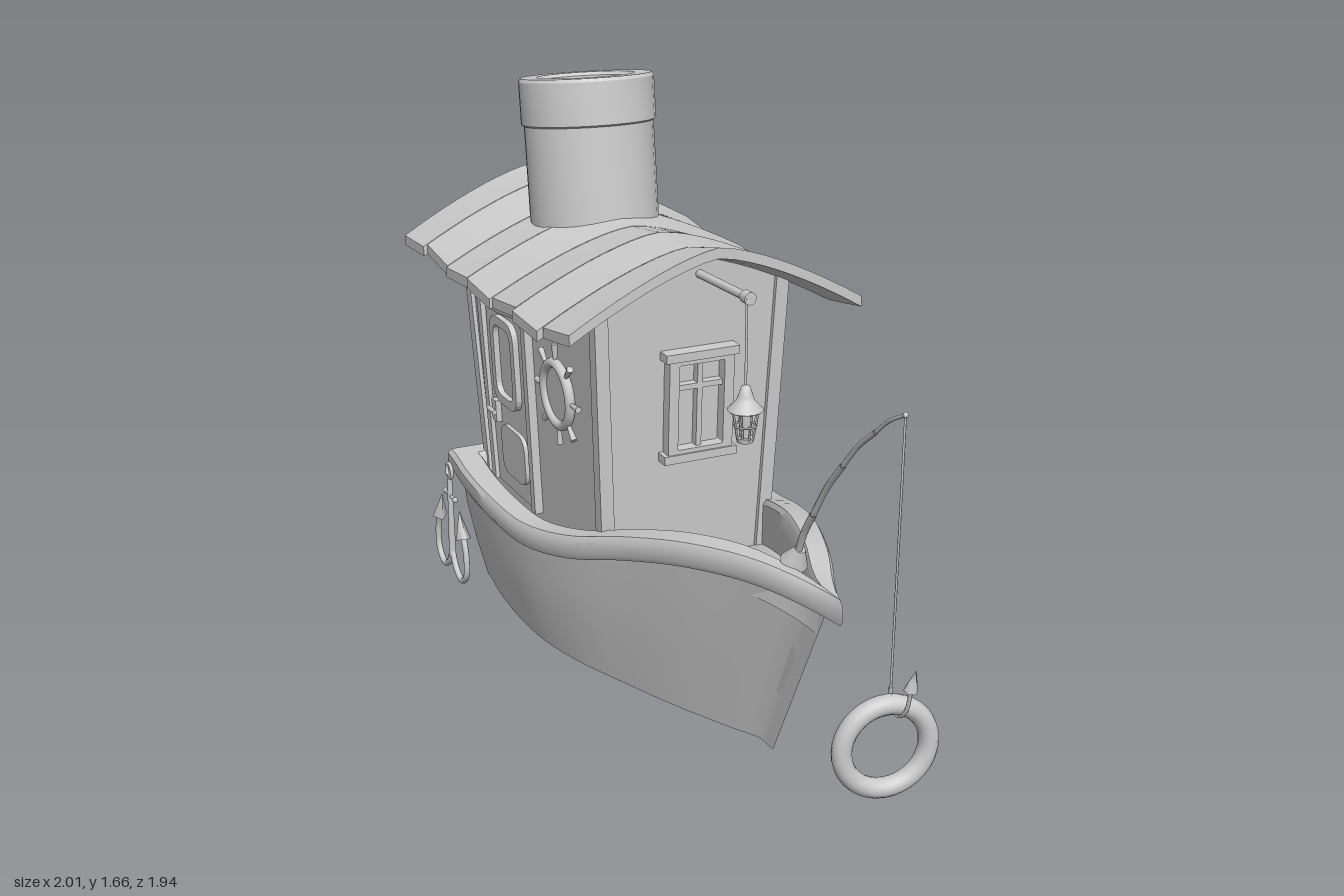
import * as THREE from 'three';
import { toCreasedNormals } from 'three/addons/utils/BufferGeometryUtils.js';

const mat = new THREE.MeshStandardMaterial({ color: 0xcccccc, side: THREE.DoubleSide });
const V = (x, y, z) => new THREE.Vector3(x, y, z);
const lerp = THREE.MathUtils.lerp;

function add(parent, name, geo, x = 0, y = 0, z = 0) {
  const m = new THREE.Mesh(geo, mat);
  m.name = name;
  m.position.set(x, y, z);
  parent.add(m);
  return m;
}
// Straight round bar between two points
function rod(parent, name, a, b, r0, r1 = r0, seg = 10) {
  const m = add(parent, name, new THREE.CylinderGeometry(r1, r0, a.distanceTo(b), seg));
  m.position.copy(a).lerp(b, 0.5);
  m.quaternion.setFromUnitVectors(V(0, 1, 0), b.clone().sub(a).normalize());
  return m;
}
function tube(parent, name, pts, r, seg = 24) {
  return add(parent, name, new THREE.TubeGeometry(new THREE.CatmullRomCurve3(pts), seg, r, 8));
}
const box = (p, name, w, h, d, x, y, z) => add(p, name, new THREE.BoxGeometry(w, h, d), x, y, z);
// Surface through rows of points, optionally closed both ways
function loft(rows, closeRows, closeCols) {
  const n = rows[0].length, idx = [];
  for (let i = 0; i < rows.length - (closeRows ? 0 : 1); i++)
    for (let j = 0; j < n - (closeCols ? 0 : 1); j++) {
      const i2 = (i + 1) % rows.length, j2 = (j + 1) % n;
      const a = i * n + j, b = i2 * n + j, c = i2 * n + j2, d = i * n + j2;
      idx.push(a, b, c, a, c, d);
    }
  const g = new THREE.BufferGeometry();
  g.setAttribute('position', new THREE.Float32BufferAttribute(rows.flat().flatMap(p => [p.x, p.y, p.z]), 3));
  g.setIndex(idx);
  return toCreasedNormals(g, 0.6);
}
// Rounded rectangle plate, with an opening when border > 0
function plate(w, h, r, depth, border = 0) {
  const outline = (P, a, b, c) => {
    P.moveTo(-a + c, -b); P.lineTo(a - c, -b); P.quadraticCurveTo(a, -b, a, -b + c);
    P.lineTo(a, b - c); P.quadraticCurveTo(a, b, a - c, b);
    P.lineTo(-a + c, b); P.quadraticCurveTo(-a, b, -a, b - c);
    P.lineTo(-a, -b + c); P.quadraticCurveTo(-a, -b, -a + c, -b);
    return P;
  };
  const s = outline(new THREE.Shape(), w / 2, h / 2, r);
  if (border) s.holes.push(outline(new THREE.Path(), w / 2 - border, h / 2 - border, r * 0.7));
  return new THREE.ExtrudeGeometry(s, { depth, bevelEnabled: false, curveSegments: 6 });
}
const table = vals => {
  const c = new THREE.SplineCurve(vals.map((v, i) => new THREE.Vector2(i, v)));
  return s => c.getPoint(s).y;
};
// Half width and sheer height from stern (0) to bow (1)
const width = table([0.37, 0.395, 0.405, 0.395, 0.35, 0.275, 0.195, 0.1, 0]);
const sheer = table([0.42, 0.42, 0.42, 0.425, 0.465, 0.535, 0.59, 0.61, 0.58]);
const innerW = s => Math.max(0, width(s) - 0.085 * (1 - s ** 4));
const innerU = s => lerp(-0.765, 0.86, s);

function buildHull(boat) {
  const N = 40, hull = [], deck = [], rim = [];
  for (let i = 0; i <= N; i++) {
    const s = i / N, yt = sheer(s) - 0.05, w = Math.max(0, width(s) - 0.035), row = [];
    for (const side of [1, -1]) {
      const half = [0, 0.33, 0.66, 1].map(t =>
        V(lerp(lerp(-0.755, 0.647, s), lerp(-0.825, 0.905, s), t), yt * t,
          side * w * lerp(0.84, 1, Math.sin(t * Math.PI / 2))));
      row.push(...(side > 0 ? half.reverse() : half));
    }
    hull.push(row);
    const u = innerU(s), wi = innerW(s), yd = sheer(s) - 0.14;
    deck.push([V(u, yt, wi), V(u, yd, wi), V(u, yd, -wi), V(u, yt, -wi)]);
  }
  add(boat, 'hull', loft(hull));
  add(boat, 'deck', loft(deck));
  // Transom closes the stern
  const t = hull[0];
  add(boat, 'transom', loft([0, 1, 2, 3].map(i => [t[i], t[7 - i]])));
  // Gunwale runs round the whole boat
  const section = [[0.1, -0.07], [0, -0.055], [0, -0.015], [0.12, 0], [0.88, 0], [1, -0.015], [1, -0.07]];
  for (let i = 0; i <= 2 * N; i++) {
    const side = i <= N ? 1 : -1, s = i <= N ? i / N : 2 - i / N;
    rim.push(section.map(([f, h]) => V(lerp(lerp(-0.85, 0.977, s), innerU(s), f), sheer(s) + h,
      side * lerp(width(s), innerW(s), f))));
  }
  add(boat, 'gunwale', loft(rim, true, true));
}

// Height of the roof top, arched across and sagging along the ridge
function roofY(u, v) {
  const t = Math.abs(v) / 0.445;
  return 1.31 - 0.19 * t ** 1.4 - 0.05 * (1 - ((u + 0.32) / 0.635) ** 2) * (1 - 0.55 * t);
}

function buildCabin(boat) {
  const shape = new THREE.Shape();
  shape.moveTo(-0.25, 0.27);
  shape.lineTo(0.25, 0.27);
  for (let i = 0; i <= 12; i++) {
    const v = lerp(0.285, -0.285, i / 12);
    shape.lineTo(v, 1.27 - 0.19 * (Math.abs(v) / 0.445) ** 1.4);
  }
  const g = new THREE.ExtrudeGeometry(shape, { depth: 1, bevelEnabled: false, steps: 10 });
  g.rotateY(Math.PI / 2);
  const p = g.attributes.position;
  for (let i = 0; i < p.count; i++) {
    const k = (p.getY(i) - 0.4) / 0.7, f = p.getX(i);
    const u = lerp(-0.775 - 0.075 * k, 0.12 + 0.03 * k, f);
    p.setX(i, u);
    if (p.getY(i) > 1.1) p.setY(i, p.getY(i) - 0.04 * (1 - (2 * f - 1) ** 2));
  }
  g.computeVertexNormals();
  add(boat, 'cabinWalls', g);
  // Corner boards
  for (const side of [1, -1]) for (const [u0, u1] of [[0.108, 0.145], [-0.762, -0.845]]) {
    const a = V(u0, 0.28, side * 0.242), b = V(u1, 1.17, side * 0.278);
    const m = box(boat, 'cornerBoard', 0.04, a.distanceTo(b), 0.04, 0, 0, 0);
    m.position.copy(a).lerp(b, 0.5);
    m.quaternion.setFromUnitVectors(V(0, 1, 0), b.clone().sub(a).normalize());
  }
}

function buildRoof(boat) {
  const n = 7, len = 1.265 / n;
  for (let i = 0; i < n; i++) for (const side of [1, -1]) {
    const jit = 0.008 * Math.sin(i * 2.7 + side), g = new THREE.BoxGeometry(1, 1, 1, 2, 1, 10);
    const p = g.attributes.position;
    for (let k = 0; k < p.count; k++) {
      const f = p.getX(k) + 0.5, t = side > 0 ? p.getZ(k) + 0.5 : 0.5 - p.getZ(k);
      const u = -0.95 + len * (i + f) - (f > 0.99 ? 0.004 : 0), v = side * t * (0.44 + jit);
      p.setXYZ(k, u, roofY(u, v) + (p.getY(k) - 0.5) * 0.03 + (0.5 - f) * 0.016 * (i % 2 ? 1 : -1), v);
    }
    g.computeVertexNormals();
    add(boat, 'roofPlank', g);
  }
  // Chimney, leaning back, with a thicker collar and a recessed mouth
  const prof = [[0.193, 0], [0.193, 0.355], [0.201, 0.36], [0.201, 0.485], [0.195, 0.495], [0.145, 0.495], [0.135, 0.485],
    [0.135, 0.42], [0, 0.42]].map(([r, y]) => new THREE.Vector2(r, y));
  add(boat, 'chimney', toCreasedNormals(new THREE.LatheGeometry(prof, 28), 0.5), -0.485, 1.15, 0).rotation.z = 0.12;
}

function buildFittings(boat) {
  // Side wall: door and wheel, laid on the leaning wall
  const wall = new THREE.Group();
  wall.name = 'doorWall';
  wall.position.set(0, 0.4, 0.256);
  wall.rotation.x = 0.04;
  boat.add(wall);
  add(wall, 'doorPanel', plate(0.32, 0.6, 0.01, 0.012), -0.515, 0.27, 0);
  for (const [x, lean] of [[-0.685, 0.055], [-0.345, 0]]) box(wall, 'doorJamb', 0.03, 0.6, 0.04, x, 0.27, 0.005).rotation.z = lean;
  tube(wall, 'doorLintel', [V(-0.75, 0.59, 0.02), V(-0.535, 0.575, 0.025), V(-0.32, 0.6, 0.02)], 0.02);
  add(wall, 'doorWindowFrame', plate(0.19, 0.28, 0.06, 0.03, 0.028), -0.51, 0.4, 0);
  add(wall, 'doorLowerPanel', plate(0.19, 0.16, 0.05, 0.025), -0.485, 0.11, 0);
  box(wall, 'doorLock', 0.035, 0.07, 0.02, -0.615, 0.215, 0.02);
  rod(wall, 'doorHandle', V(-0.62, 0.225, 0.045), V(-0.57, 0.225, 0.045), 0.008);
  const wheel = new THREE.Group();
  wheel.name = 'shipWheel';
  wheel.position.set(-0.11, 0.425, 0.02);
  wall.add(wheel);
  add(wheel, 'wheelRing', new THREE.TorusGeometry(0.092, 0.015, 10, 32));
  add(wheel, 'wheelGlass', new THREE.CylinderGeometry(0.085, 0.085, 0.01, 32), 0, 0, -0.005).rotation.x = Math.PI / 2;
  for (let i = 0; i < 8; i++) {
    const a = i * Math.PI / 4, d = V(Math.cos(a), Math.sin(a), 0);
    rod(wheel, 'wheelHandle', d.clone().multiplyScalar(0.1), d.clone().multiplyScalar(0.15), 0.006, 0.01, 8);
  }
  // Front wall: window with bars
  const front = new THREE.Group();
  front.name = 'frontWindow';
  front.position.set(0.122, 0.4, -0.02);
  front.rotation.set(-0.0, Math.PI / 2, 0, 'YXZ');
  front.rotation.x = 0.043;
  boat.add(front);
  add(front, 'windowFrame', plate(0.2, 0.31, 0.008, 0.035, 0.03), 0, 0.435, 0);
  for (const y of [0.285, 0.585]) box(front, 'windowSill', 0.225, 0.025, 0.05, 0, y, 0.015);
  box(front, 'windowBar', 0.016, 0.27, 0.025, 0, 0.435, 0.01);
  box(front, 'windowBar', 0.15, 0.016, 0.025, 0, 0.49, 0.01);
  // Lantern hung from a beam under the gable
  rod(boat, 'lanternBeam', V(0.1, 1.205, -0.02), V(0.43, 1.205, -0.03), 0.012);
  rod(boat, 'lanternBeamEnd', V(0.4, 1.205, -0.03), V(0.43, 1.205, -0.03), 0.018);
  rod(boat, 'lanternCord', V(0.41, 1.2, -0.03), V(0.41, 0.96, -0.03), 0.004, 0.004, 6);
  const lantern = new THREE.Group();
  lantern.name = 'lantern';
  lantern.position.set(0.41, 0.8, -0.03);
  boat.add(lantern);
  const cap = [[0, 0.165], [0.012, 0.16], [0.02, 0.135], [0.026, 0.12], [0.05, 0.095], [0.045, 0.09], [0, 0.09]];
  add(lantern, 'lanternCap', new THREE.LatheGeometry(cap.map(a => new THREE.Vector2(...a)), 16));
  for (let i = 0; i < 8; i++) {
    const c = Math.cos(i * Math.PI / 4), s = Math.sin(i * Math.PI / 4);
    rod(lantern, 'lanternBar', V(0.022 * c, 0.01, 0.022 * s), V(0.036 * c, 0.09, 0.036 * s), 0.003, 0.003, 5);
  }
  add(lantern, 'lanternCore', new THREE.CylinderGeometry(0.02, 0.014, 0.08, 10), 0, 0.05, 0);
  add(lantern, 'lanternHoop', new THREE.TorusGeometry(0.03, 0.003, 6, 16), 0, 0.05, 0).rotation.x = Math.PI / 2;
  add(lantern, 'lanternBase', new THREE.CylinderGeometry(0.025, 0.022, 0.014, 14), 0, 0.01, 0);
  // Anchor on the door side of the stern
  const anchor = new THREE.Group();
  anchor.name = 'anchor';
  anchor.position.set(-0.77, 0, 0.395);
  boat.add(anchor);
  add(anchor, 'anchorRing', new THREE.TorusGeometry(0.024, 0.006, 8, 20), 0, 0.375, 0);
  rod(anchor, 'anchorShank', V(0, 0.08, 0), V(0, 0.36, 0), 0.012, 0.008);
  rod(anchor, 'anchorStock', V(-0.045, 0.29, 0), V(0.045, 0.29, 0), 0.005);
  for (const s of [-1, 1]) {
    add(anchor, 'anchorStockKnob', new THREE.SphereGeometry(0.009, 10, 8), s * 0.045, 0.29, 0);
    tube(anchor, 'anchorArm', [V(0, 0.1, 0), V(s * 0.03, 0.05, 0), V(s * 0.08, 0.025, 0), V(s * 0.125, 0.06, 0),
      V(s * 0.13, 0.13, 0), V(s * 0.1, 0.21, 0)], 0.01);
    rod(anchor, 'anchorFluke', V(s * 0.11, 0.18, 0), V(s * 0.08, 0.265, 0), 0.025, 0.001, 4);
  }
}

// Fishing rod, line, hook and life ring over the bow
function buildTackle(model) {
  rod(model, 'rodHandle', V(0.47, 0.47, 0.45), V(0.56, 0.61, 0.52), 0.02, 0.016);
  rod(model, 'rodCollar', V(0.55, 0.6, 0.515), V(0.57, 0.645, 0.53), 0.037, 0.014, 14);
  const path = [V(0.56, 0.62, 0.525), V(0.62, 0.77, 0.59), V(0.72, 0.95, 0.69), V(0.82, 1.08, 0.78), V(0.908, 1.16, 0.86)];
  path.slice(1).forEach((b, i) => tube(model, 'fishingRod', [path[i], path[i].clone().lerp(b, 0.5).add(V(-0.004, 0.005, -0.004)), b], 0.0095 - i * 0.0015, 8));
  add(model, 'rodTip', new THREE.SphereGeometry(0.007, 8, 6), 0.908, 1.16, 0.86);
  rod(model, 'fishingLine', V(0.908, 1.16, 0.86), V(0.9, 0.47, 0.855), 0.003, 0.003, 6);
  tube(model, 'hook', [V(0.9, 0.48, 0.855), V(0.9, 0.44, 0.85), V(0.92, 0.415, 0.865), V(0.945, 0.44, 0.885), V(0.96, 0.51, 0.9)], 0.005);
  rod(model, 'hookBarb', V(0.958, 0.505, 0.9), V(0.97, 0.56, 0.905), 0.018, 0.001, 6);
  add(model, 'lifeRing', new THREE.TorusGeometry(0.11, 0.025, 14, 36), 0.9, 0.34, 0.885).rotation.y = 0.66;
}

export function createModel() {
  const model = new THREE.Group();
  model.name = 'fishingBoat';
  const boat = new THREE.Group();
  boat.name = 'boat';
  boat.rotation.y = -0.738;
  model.add(boat);
  buildHull(boat);
  buildCabin(boat);
  buildRoof(boat);
  buildFittings(boat);
  buildTackle(model);
  return model;
}
